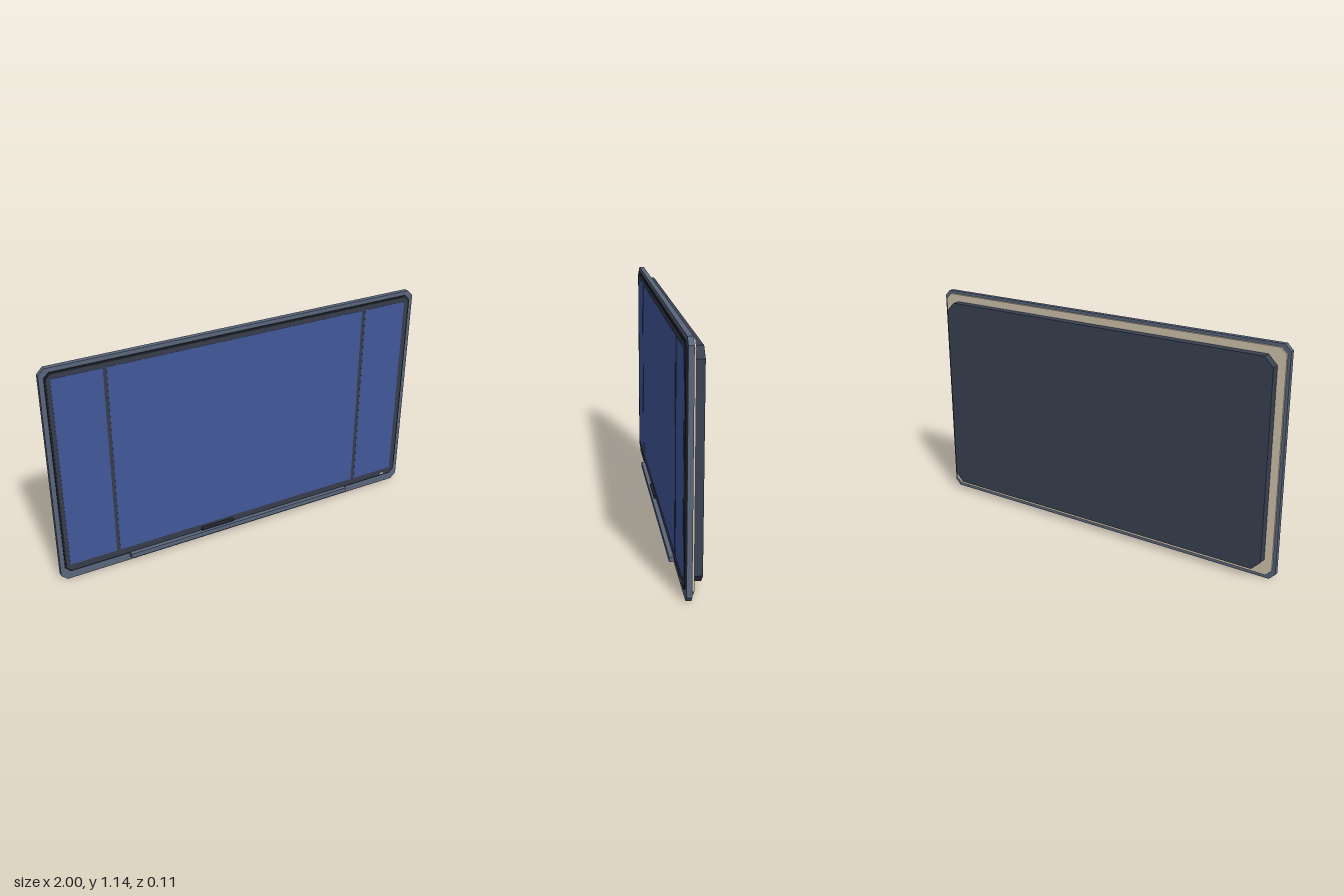
import * as THREE from 'three';

const paint = (name, color) => {
  const m = new THREE.MeshStandardMaterial({ color });
  m.name = name;
  return m;
};

export function createModel() {
  const model = new THREE.Group();
  model.name = 'wallDisplay';

  const slate = paint('slate frame', 0x5a667c);
  const charcoal = paint('charcoal bezel', 0x363c4a);
  const casing = paint('dark casing', 0x394252);
  const black = paint('near black', 0x1e222b);
  const cream = paint('cream backing', 0xd2c6b0);
  const blue = paint('blue screen', 0x41589a);
  const white = paint('white light', 0xe8ebf0);

  const add = (name, geometry, material) => {
    const mesh = new THREE.Mesh(geometry, material);
    mesh.name = name;
    model.add(mesh);
    return mesh;
  };

  // Rectangle with cut corners: half width w, bottom y0, top y1, cut c
  const outline = (w, y0, y1, c) => [
    [-w + c, y0], [w - c, y0], [w, y0 + c], [w, y1 - c],
    [w - c, y1], [-w + c, y1], [-w, y1 - c], [-w, y0 + c],
  ].map(([x, y]) => new THREE.Vector2(x, y));

  // Slab from z0 to z1, optionally with an opening
  const slab = (name, points, z0, z1, material, hole) => {
    const shape = new THREE.Shape(points);
    if (hole) shape.holes.push(new THREE.Path(hole));
    const geometry = new THREE.ExtrudeGeometry(shape, { depth: z1 - z0, bevelEnabled: false });
    return add(name, geometry.translate(0, 0, z0), material);
  };

  const box = (name, x0, x1, y0, y1, z0, z1, material) => add(
    name,
    new THREE.BoxGeometry(x1 - x0, y1 - y0, z1 - z0)
      .translate((x0 + x1) / 2, (y0 + y1) / 2, (z0 + z1) / 2),
    material,
  );

  // Stacked body, from the back to the front
  slab('rearCasing', outline(0.945, 0.055, 1.09, 0.045), -0.053, -0.01, casing);
  slab('backing', outline(0.985, 0.02, 1.128, 0.03), -0.01, 0, cream);
  slab('outerFrame', outline(1, 0, 1.143, 0.03), 0, 0.025, slate);
  slab('bezelEdge', outline(0.977, 0.045, 1.122, 0.025), 0.025, 0.0315, black,
    outline(0.969, 0.053, 1.114, 0.022));
  slab('bezel', outline(0.969, 0.053, 1.114, 0.022), 0.025, 0.0325, charcoal);

  // Screen and its two side panels
  [['leftPanel', 0.703, 0.945], ['mainScreen', -0.69, 0.683], ['rightPanel', -0.95, -0.708]]
    .forEach(([name, x0, x1]) => box(name, x0, x1, 0.085, 1.09, 0.0325, 0.0335, blue));

  // Pen tray, pen and status light
  box('penTray', -0.64, 0.64, 0.025, 0.05, 0.025, 0.053, slate);
  const pen = add('pen', new THREE.CylinderGeometry(0.009, 0.009, 0.18, 12), black);
  pen.rotation.z = Math.PI / 2;
  pen.position.set(-0.152, 0.061, 0.037);
  box('statusLight', 0.88, 0.905, 0.056, 0.064, 0.0325, 0.0345, white);

  return model;
}
